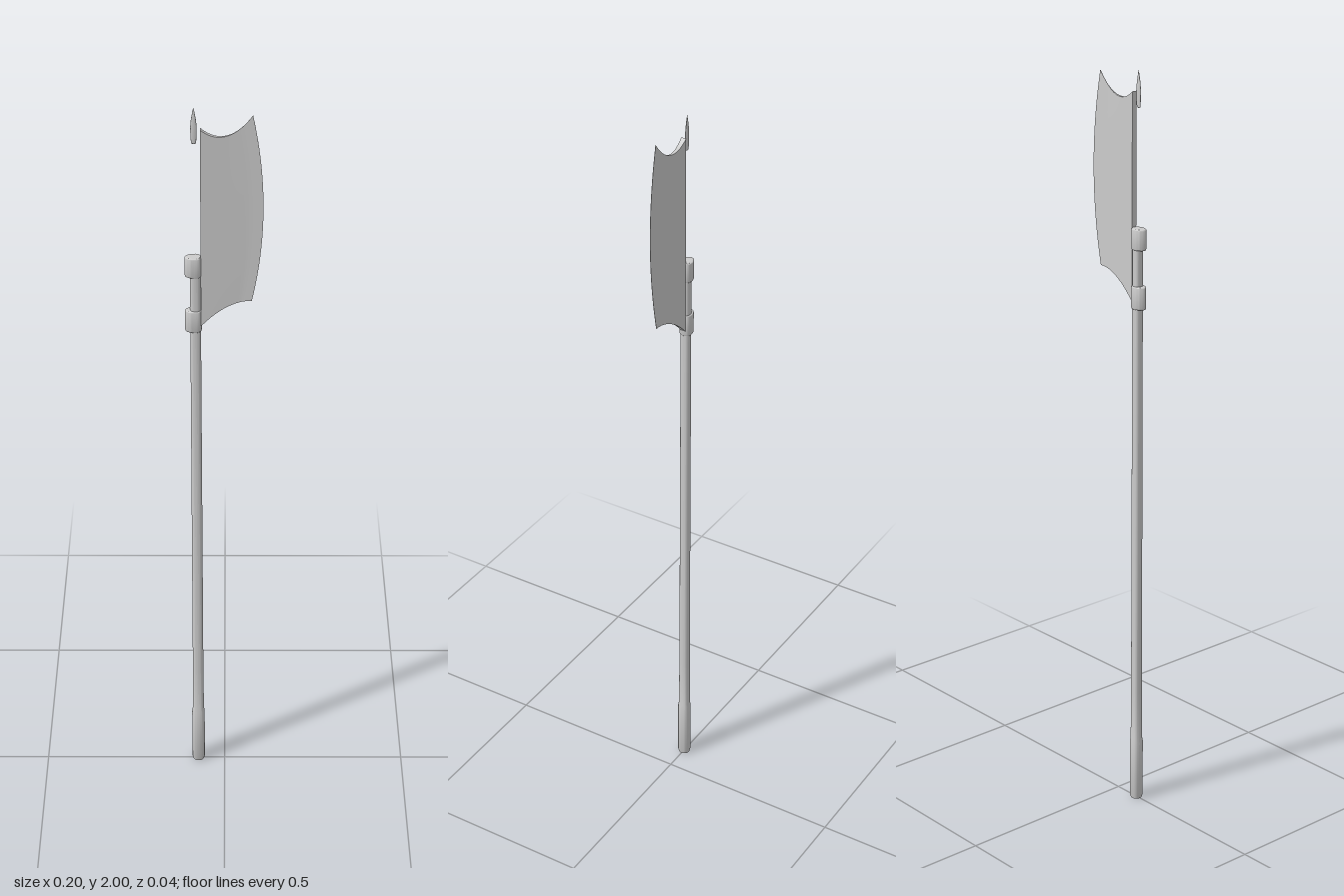
import * as THREE from 'three';
import { toCreasedNormals } from 'three/addons/utils/BufferGeometryUtils.js';

const POLE_X = -0.0735;

export function createModel() {
  const group = new THREE.Group();
  const material = new THREE.MeshStandardMaterial({ color: 0xcccccc });
  const add = (name, geometry, x = 0, y = 0) => {
    const mesh = new THREE.Mesh(geometry, material);
    mesh.name = name;
    mesh.position.set(x, y, 0);
    group.add(mesh);
    return mesh;
  };
  const lathe = (points, segments) => toCreasedNormals(
    new THREE.LatheGeometry(points.map(([r, y]) => new THREE.Vector2(r, y)), segments), 0.6);

  // Shaft with a thicker grip at the foot
  add('shaft', lathe([
    [0, 0], [0.015, 0], [0.0175, 0.008], [0.0175, 0.17], [0.0155, 0.18],
    [0.0145, 0.32], [0.0135, 1.4], [0.0135, 1.6], [0, 1.6],
  ], 24), POLE_X);

  // Egg-shaped collars, drawn out away from the blade
  const egg = new THREE.Shape();
  for (let i = 0; i < 32; i++) {
    const a = (i / 32) * Math.PI * 2;
    const c = Math.cos(a);
    egg[i ? 'lineTo' : 'moveTo'](c * (c > 0 ? 0.0125 : 0.0235), Math.sin(a) * 0.0135);
  }
  const bevel = 0.003;
  for (const [name, bottom, top] of [['lowerCollar', 1.39, 1.45], ['upperCollar', 1.545, 1.6]]) {
    const geometry = new THREE.ExtrudeGeometry(egg, {
      depth: top - bottom - 2 * bevel, bevelSize: bevel, bevelThickness: bevel, bevelSegments: 3,
    });
    geometry.translate(0, 0, bevel).rotateX(-Math.PI / 2);
    add(name, toCreasedNormals(geometry, 0.6), POLE_X, bottom);
  }

  // Blade: a box bent to the outline and thinned toward the cutting edge
  const blade = new THREE.BoxGeometry(1, 1, 1, 20, 24, 1);
  const p = blade.attributes.position;
  for (let i = 0; i < p.count; i++) {
    const u = p.getX(i) + 0.5;
    const v = p.getY(i) + 0.5;
    const edgeX = 0.068 + 0.108 * v * (1 - v);
    const low = 1.405 + 0.14 * u - 0.07 * u * u;
    const high = 1.945 - 0.109 * u + 0.144 * u * u;
    const half = Math.max(0.0004, 0.007 - 0.0085 * u);
    p.setXYZ(i,
      THREE.MathUtils.lerp(-0.06, edgeX, u),
      THREE.MathUtils.lerp(low, high, v),
      p.getZ(i) * 2 * half);
  }
  blade.computeVertexNormals();
  add('blade', blade);

  // Flattened leaf-shaped point above the shaft
  const leaf = lathe([
    [0, 1.905], [0.006, 1.907], [0.0075, 1.925], [0.008, 1.95],
    [0.006, 1.97], [0.0025, 1.99], [0, 2],
  ], 20);
  leaf.scale(1, 1, 0.4);
  add('spike', leaf, -0.0755);

  return group;
}
